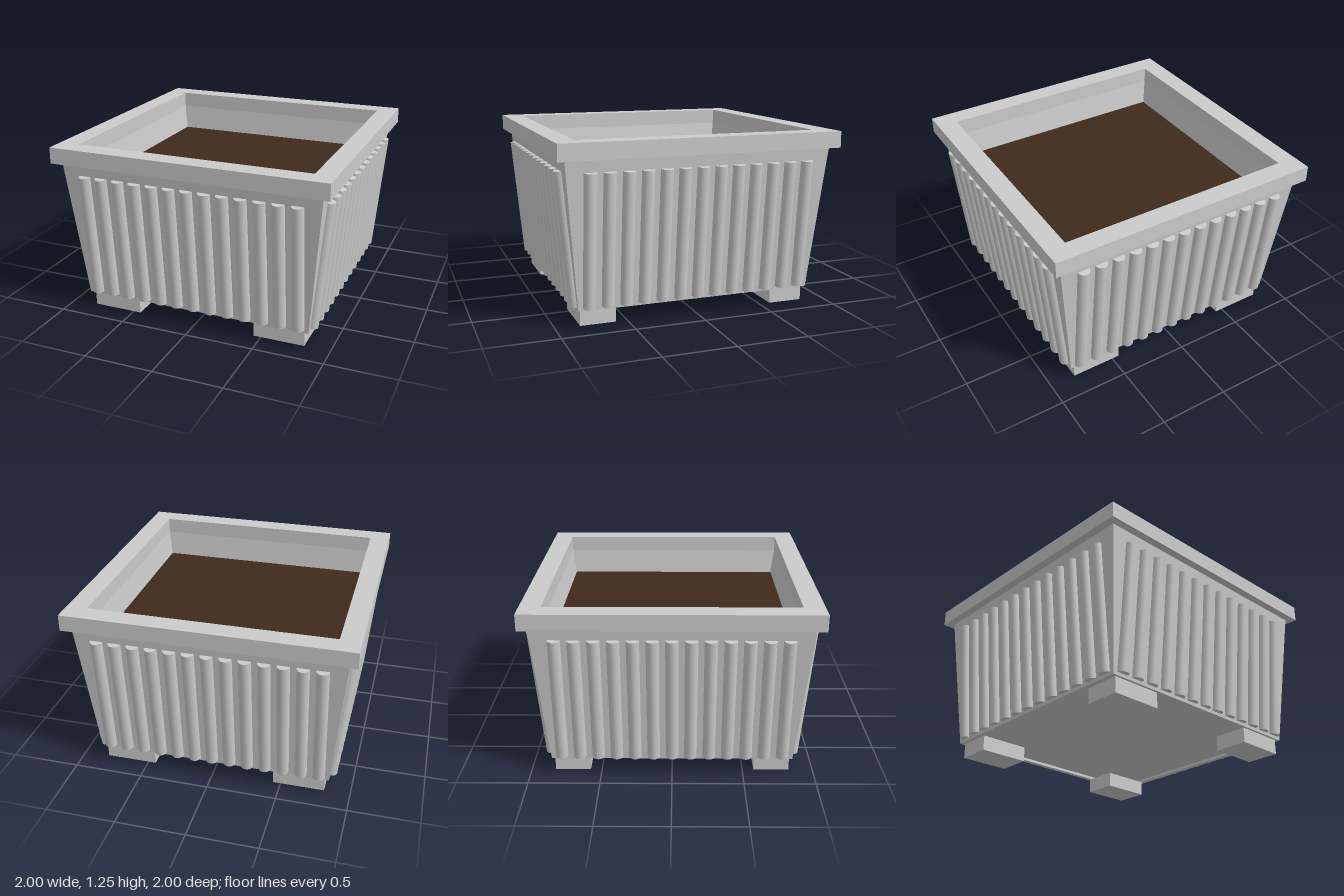
import * as THREE from 'three';

const grey = new THREE.MeshStandardMaterial({ color: 0xcccccc });
const greyFlat = new THREE.MeshStandardMaterial({ color: 0xcccccc, flatShading: true });
const brown = new THREE.MeshStandardMaterial({ color: 0x3f2b1c });

// Closed square ring swept from a [halfWidth, y] profile, outer side going up.
function squareRing(name, profile) {
  const points = profile.map(([half, y]) => new THREE.Vector2(half * Math.SQRT2, y));
  points.push(points[0].clone());
  const mesh = new THREE.Mesh(new THREE.LatheGeometry(points, 4, Math.PI / 4), greyFlat);
  mesh.name = name;
  return mesh;
}

function box(name, w, h, d, x, y, z, material) {
  const mesh = new THREE.Mesh(new THREE.BoxGeometry(w, h, d), material);
  mesh.position.set(x, y, z);
  mesh.name = name;
  return mesh;
}

export function createModel() {
  const planter = new THREE.Group();
  planter.name = 'planter';

  const bottomY = 0.11, bottomHalf = 0.848;
  const topY = 1.135, topHalf = 0.943;
  const slope = (topHalf - bottomHalf) / (topY - bottomY);

  // Tapered hollow body
  planter.add(squareRing('body', [
    [bottomHalf, bottomY], [topHalf, topY], [0.855, topY], [0.83, 0.95], [0.81, bottomY],
  ]));

  // Overhanging square rim
  planter.add(squareRing('rim', [[1, topY], [1, 1.25], [0.855, 1.25], [0.855, topY]]));

  // Floor and soil fill
  planter.add(box('floor', 1.63, 0.04, 1.63, 0, 0.15, 0, grey));
  planter.add(box('soil', 1.665, 0.04, 1.665, 0, 0.93, 0, brown));

  // Half-sunk round ribs following the taper of each wall
  const ribMidY = 0.59, ribCount = 13, ribSpacing = 0.129;
  const ribGeometry = new THREE.CylinderGeometry(0.044, 0.044, 0.92, 16);
  for (let side = 0; side < 4; side++) {
    const wall = new THREE.Group();
    wall.name = 'wallRibs';
    wall.rotation.y = side * Math.PI / 2;
    for (let i = 0; i < ribCount; i++) {
      const rib = new THREE.Mesh(ribGeometry, grey);
      rib.name = 'rib';
      rib.position.set((i - (ribCount - 1) / 2) * ribSpacing, ribMidY,
        bottomHalf + slope * (ribMidY - bottomY));
      rib.rotation.x = Math.atan(slope);
      wall.add(rib);
    }
    planter.add(wall);
  }

  // Corner feet
  for (const sx of [-1, 1]) {
    for (const sz of [-1, 1]) {
      planter.add(box('foot', 0.37, bottomY, 0.25, sx * 0.63, bottomY / 2, sz * 0.705, grey));
    }
  }

  return planter;
}
